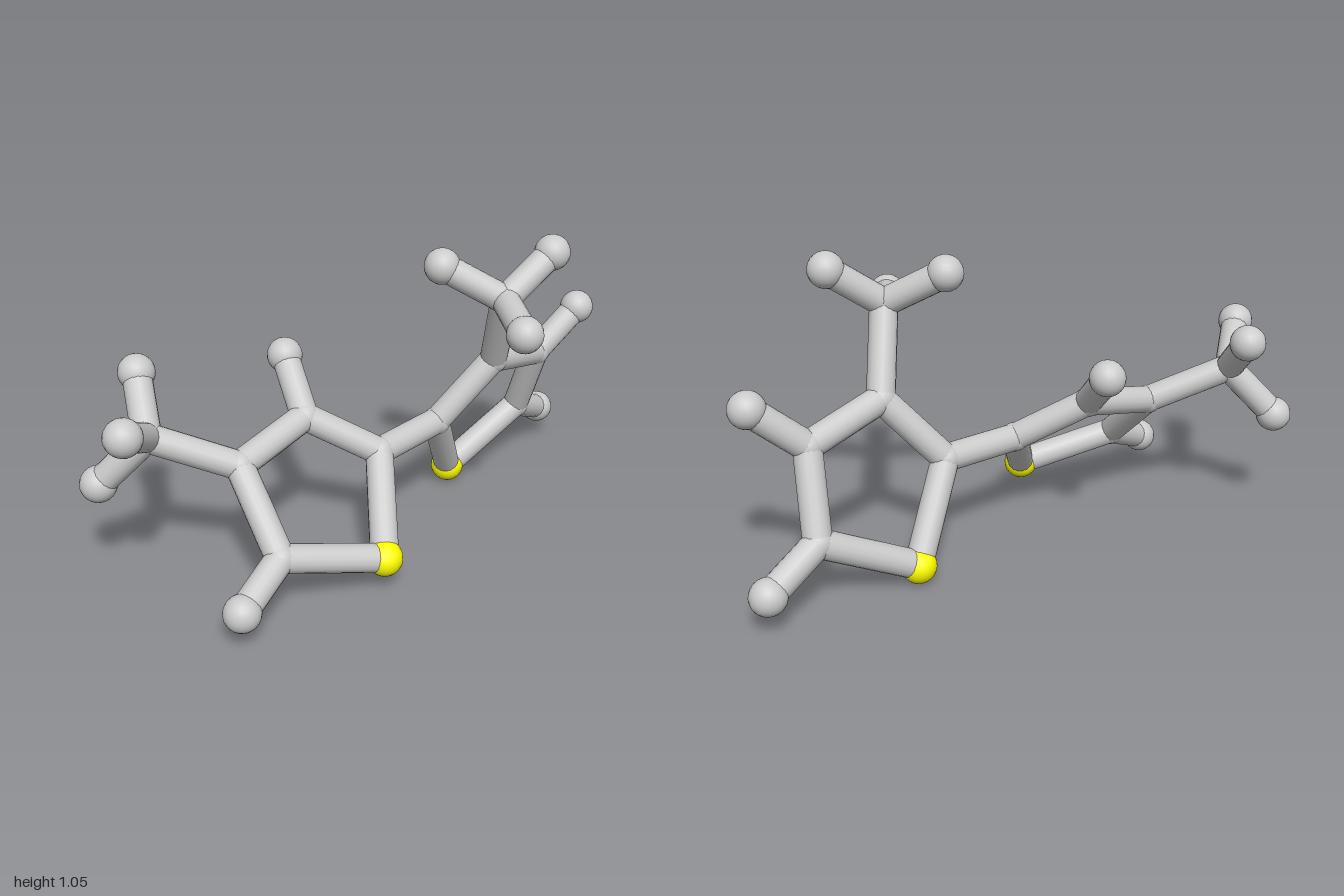
import * as THREE from 'three';

const BOND_R = 0.048, JOINT_R = 0.051, BALL_R = 0.061;
const grey = new THREE.MeshStandardMaterial({ color: 0xcccccc });
const yellow = new THREE.MeshStandardMaterial({ color: 0xffff00 });

// Atom centres: the five ring corners start at the yellow one and go round
const halves = [
  {
    name: 'rightRing',
    ring: [[-0.24, 0.117, 0.262], [-0.06, 0.35, 0.02], [-0.26, 0.49, -0.13], [-0.552, 0.425, -0.09], [-0.577, 0.205, 0.155]],
    ends: [[2, [-0.21, 0.643, -0.303]], [4, [-0.767, 0.12, 0.217]]],
    branch: [-0.79, 0.547, -0.24],
    branchEnds: [[-0.942, 0.656, -0.095], [-0.722, 0.697, -0.398], [-0.919, 0.38, -0.349]],
    branchFrom: 3,
  },
  {
    name: 'leftRing',
    ring: [[0.41, 0.061, -0.14], [0.235, 0.355, -0.015], [0.42, 0.575, 0.075], [0.709, 0.5, 0.01], [0.743, 0.225, -0.11]],
    ends: [[3, [0.88, 0.647, 0.047]], [4, [0.937, 0.128, -0.174]]],
    branch: [0.337, 0.856, 0.197],
    branchEnds: [[0.185, 0.968, 0.052], [0.522, 0.987, 0.228], [0.226, 0.824, 0.398]],
    branchFrom: 2,
  },
];

const ballGeo = new THREE.SphereGeometry(1, 20, 14);
const rodGeo = new THREE.CylinderGeometry(BOND_R, BOND_R, 1, 16);

function addBall(group, name, p, radius, material = grey) {
  const ball = new THREE.Mesh(ballGeo, material);
  ball.name = name;
  ball.position.set(...p);
  ball.scale.setScalar(radius);
  group.add(ball);
}

// Rod between two centres
function addRod(group, name, p, q) {
  const a = new THREE.Vector3(...p), b = new THREE.Vector3(...q);
  const dir = b.clone().sub(a);
  const rod = new THREE.Mesh(rodGeo, grey);
  rod.name = name;
  rod.scale.y = dir.length();
  rod.position.copy(a).add(b).multiplyScalar(0.5);
  rod.quaternion.setFromUnitVectors(new THREE.Vector3(0, 1, 0), dir.normalize());
  group.add(rod);
}

function buildHalf({ name, ring, ends, branch, branchEnds, branchFrom }) {
  const group = new THREE.Group();
  group.name = name;
  // Five-sided ring with one yellow corner
  ring.forEach((p, i) => {
    if (i === 0) addBall(group, 'yellowAtom', p, BALL_R, yellow);
    else addBall(group, 'ringJoint', p, JOINT_R);
    addRod(group, 'ringBond', p, ring[(i + 1) % ring.length]);
  });
  // Single end balls on the ring
  for (const [from, p] of ends) {
    addRod(group, 'endBond', ring[from], p);
    addBall(group, 'endAtom', p, BALL_R);
  }
  // Three-pronged side branch
  const side = new THREE.Group();
  side.name = 'sideBranch';
  addRod(side, 'branchBond', ring[branchFrom], branch);
  addBall(side, 'branchJoint', branch, JOINT_R);
  for (const p of branchEnds) {
    addRod(side, 'endBond', branch, p);
    addBall(side, 'endAtom', p, BALL_R);
  }
  group.add(side);
  return group;
}

export function createModel() {
  const model = new THREE.Group();
  model.name = 'molecule';
  halves.forEach((half) => model.add(buildHalf(half)));
  // Bond joining the two rings
  addRod(model, 'bridgeBond', halves[0].ring[1], halves[1].ring[1]);
  return model;
}
